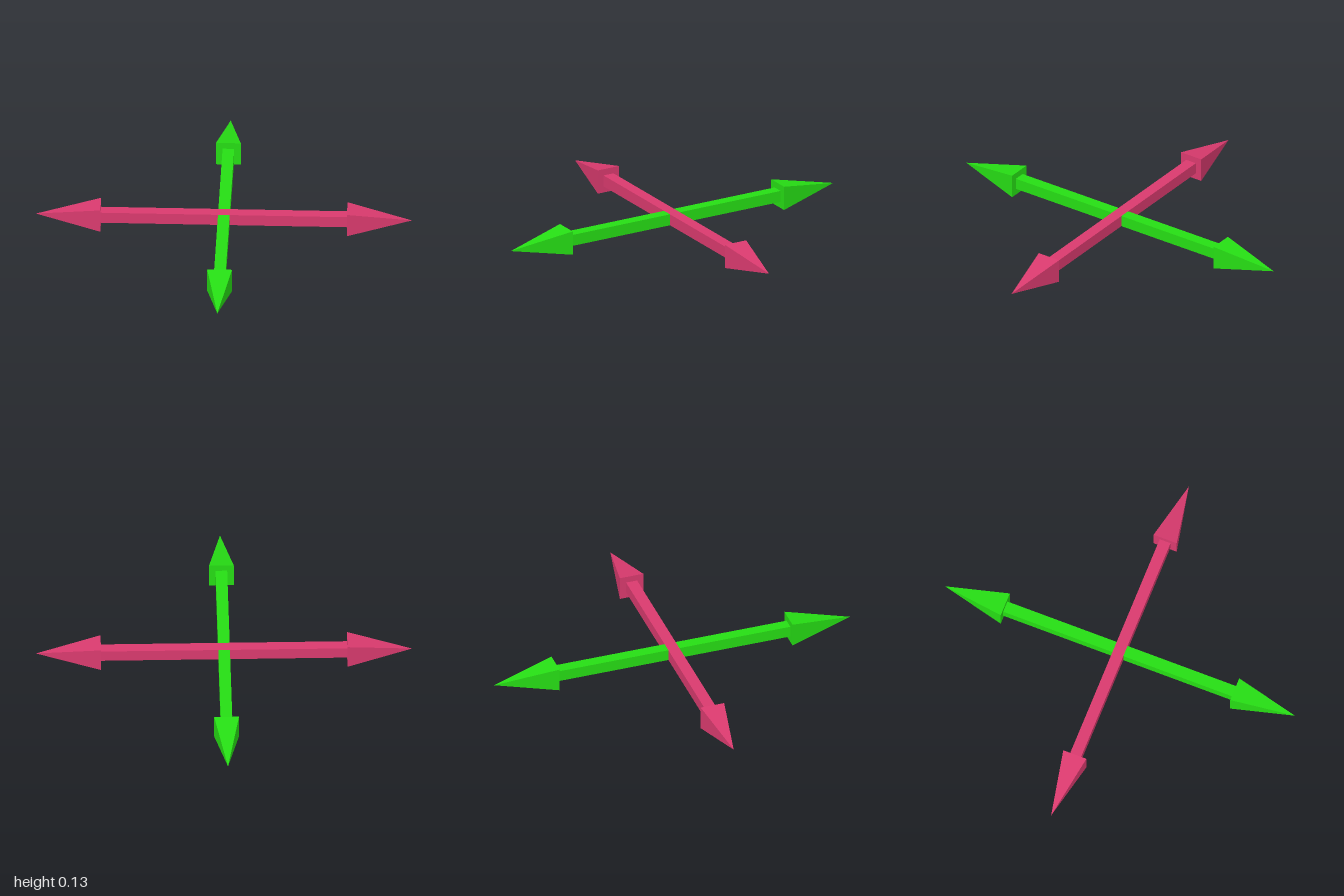
import * as THREE from 'three';

const HEAD_BASE = 0.655; // distance from the centre to the back of a head
const HEAD_HALF = 0.066;
const SHAFT_HALF = 0.031;

// One arm along +x: a square shaft from `start` and a pyramid head.
function makeArm(name, start, material) {
  const arm = new THREE.Group();
  arm.name = name;

  const length = HEAD_BASE - start;
  const shaft = new THREE.Mesh(
    new THREE.BoxGeometry(length, SHAFT_HALF * 2, SHAFT_HALF * 2), material);
  shaft.name = 'shaft';
  shaft.position.x = start + length / 2;

  const headLength = 1 - HEAD_BASE;
  const headGeometry = new THREE.ConeGeometry(
    HEAD_HALF * Math.SQRT2, headLength, 4, 1, false, Math.PI / 4);
  headGeometry.rotateZ(-Math.PI / 2);
  const head = new THREE.Mesh(headGeometry, material);
  head.name = 'arrowHead';
  head.position.x = HEAD_BASE + headLength / 2;

  arm.add(shaft, head);
  return arm;
}

export function createModel() {
  const crimson = new THREE.MeshStandardMaterial({ color: 0xd93a6e });
  crimson.name = 'crimson';
  const green = new THREE.MeshStandardMaterial({ color: 0x26dd14 });
  green.name = 'green';
  crimson.flatShading = green.flatShading = true;

  const model = new THREE.Group();
  model.name = 'crossedArrows';

  // The crimson arrow runs through the centre; the green arms butt against it.
  const arms = [
    ['leftArm', 0, 0, crimson],
    ['rightArm', Math.PI, 0, crimson],
    ['frontArm', -Math.PI / 2, SHAFT_HALF, green],
    ['backArm', Math.PI / 2, SHAFT_HALF, green],
  ];
  for (const [name, turn, start, material] of arms) {
    const arm = makeArm(name, start, material);
    arm.rotation.y = turn;
    arm.position.y = HEAD_HALF;
    model.add(arm);
  }
  return model;
}
